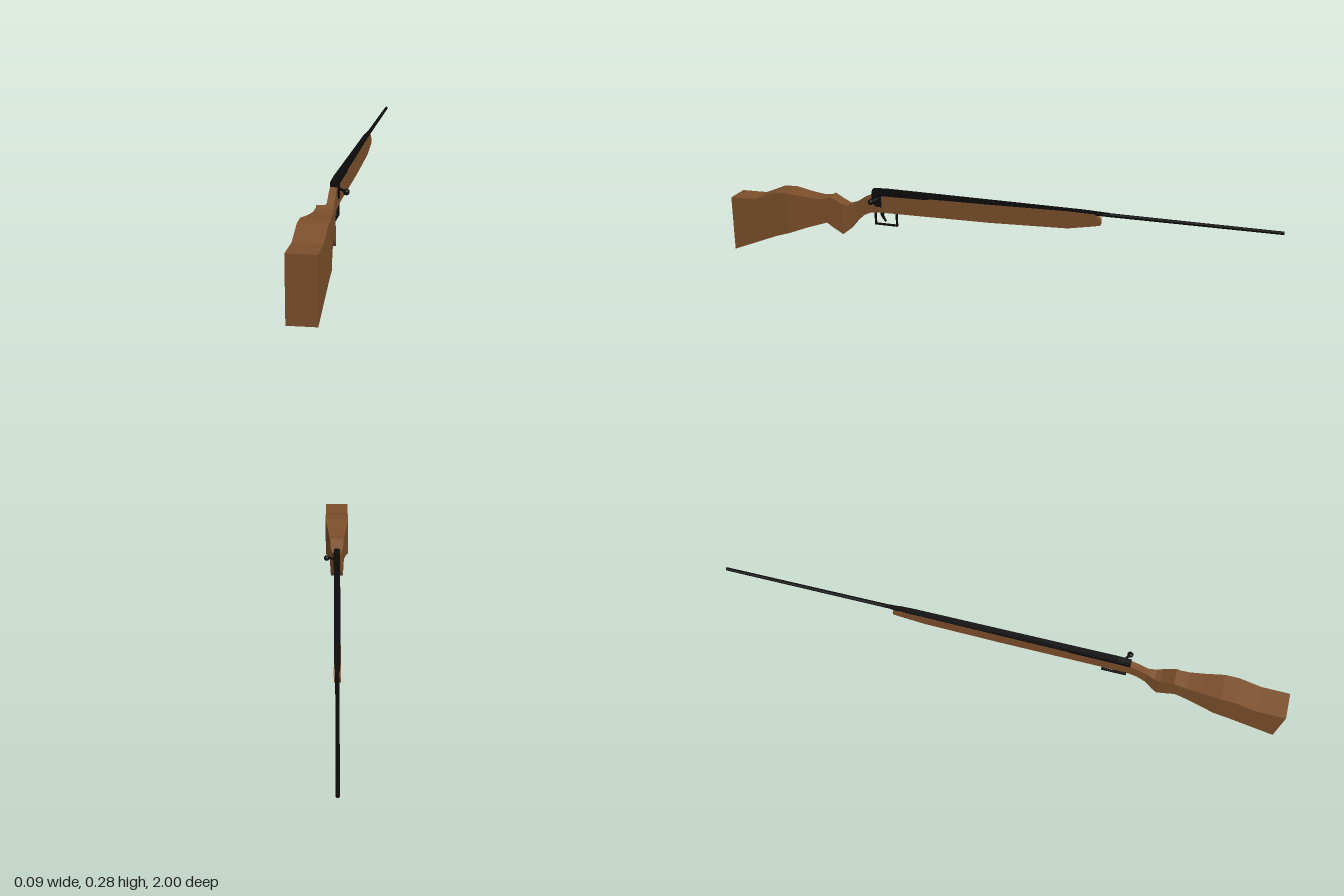
import * as THREE from 'three';

const wood = new THREE.MeshStandardMaterial({ color: 0x7b4f2b, flatShading: true });
wood.name = 'brown wood';
const steel = new THREE.MeshStandardMaterial({ color: 0x0b0b0c });
steel.name = 'black steel';
const CX = -0.0025; // centre plane of the body; the bolt knob widens the +x side

// Loft of rectangular sections [z, bottom, top, halfWidth], ordered from +z to -z
function loft(sections) {
  const pos = [], index = [];
  for (const [z, b, t, w] of sections) pos.push(-w, b, z, w, b, z, w, t, z, -w, t, z);
  const n = sections.length;
  for (let i = 0; i < n - 1; i++) {
    for (let k = 0; k < 4; k++) {
      const a = i * 4 + k, b = i * 4 + (k + 1) % 4;
      index.push(a, a + 4, b, b, a + 4, b + 4);
    }
  }
  const e = (n - 1) * 4;
  index.push(0, 1, 2, 0, 2, 3, e, e + 2, e + 1, e, e + 3, e + 2);
  const g = new THREE.BufferGeometry();
  g.setAttribute('position', new THREE.Float32BufferAttribute(pos, 3));
  g.setIndex(index);
  const flat = g.toNonIndexed();
  flat.computeVertexNormals();
  return flat;
}

// Tapered round bar between two points
function rod(a, b, ra, rb, sides = 12) {
  const p = new THREE.Vector3(...a), q = new THREE.Vector3(...b);
  const d = q.clone().sub(p);
  const g = new THREE.CylinderGeometry(rb, ra, d.length(), sides);
  g.applyQuaternion(new THREE.Quaternion().setFromUnitVectors(new THREE.Vector3(0, 1, 0), d.normalize()));
  return g.translate(...p.add(q).multiplyScalar(0.5).toArray());
}

// Side outline given as [z, y] points, extruded across x
function sidePlate(points, width, hole) {
  const toV = ([z, y]) => new THREE.Vector2(-z, y);
  const shape = new THREE.Shape(points.map(toV));
  if (hole) shape.holes.push(new THREE.Path(hole.map(toV)));
  const g = new THREE.ExtrudeGeometry(shape, { depth: width, bevelEnabled: false });
  return g.translate(0, 0, -width / 2).rotateY(Math.PI / 2);
}

export function createModel() {
  const model = new THREE.Group();
  const add = (name, geometry, material, x = CX) => {
    const mesh = new THREE.Mesh(geometry, material);
    mesh.name = name;
    mesh.position.x = x;
    model.add(mesh);
  };

  // Butt, grip and fore-end in one piece of wood
  add('stock', loft([
    [1, 0, 0.205, 0.0455], [0.9, 0.04, 0.207, 0.0455], [0.85, 0.06, 0.228, 0.0455],
    [0.82, 0.072, 0.241, 0.0455], [0.77, 0.088, 0.243, 0.0455], [0.7, 0.114, 0.233, 0.036],
    [0.65, 0.13, 0.229, 0.03], [0.62, 0.14, 0.232, 0.028], [0.605, 0.128, 0.24, 0.027],
    [0.56, 0.1, 0.217, 0.024], [0.54, 0.115, 0.211, 0.019], [0.51, 0.15, 0.222, 0.0115],
    [0.48, 0.178, 0.243, 0.0115], [0.45, 0.192, 0.257, 0.0115], [0.41, 0.195, 0.262, 0.0115],
    [0, 0.2, 0.267, 0.0115], [-0.28, 0.21, 0.272, 0.0115], [-0.37, 0.227, 0.27, 0.0115],
    [-0.393, 0.232, 0.252, 0.0115],
  ]), wood);

  // Receiver strip along the top of the wood
  add('receiver', loft([
    [0.447, 0.256, 0.273, 0.0118], [0.4, 0.258, 0.276, 0.0118],
    [-0.33, 0.268, 0.275, 0.0105], [-0.4, 0.265, 0.274, 0.0065],
  ]), steel);
  add('topRib', loft([
    [0.445, 0.27, 0.279, 0.0085], [0.4, 0.27, 0.282, 0.0085],
    [-0.33, 0.268, 0.278, 0.008], [-0.42, 0.266, 0.276, 0.005],
  ]), steel);
  add('barrel', rod([0, 0.272, 0.4], [0, 0.268, -1], 0.0085, 0.0058), steel);

  // Bolt on the left side
  add('boltPlate', sidePlate([[0.447, 0.262], [0.447, 0.232], [0.43, 0.216], [0.41, 0.216], [0.41, 0.265]], 0.004), steel, 0.0095);
  add('boltHandle', rod([0.006, 0.249, 0.42], [0.037, 0.242, 0.438], 0.0045, 0.0035), steel, 0);
  add('boltKnob', new THREE.SphereGeometry(0.0105, 16, 12).translate(0.0365, 0.2415, 0.439), steel, 0);

  // Trigger and its square guard
  add('triggerGuard', sidePlate(
    [[0.441, 0.2], [0.441, 0.144], [0.353, 0.144], [0.353, 0.2]], 0.008,
    [[0.435, 0.196], [0.435, 0.15], [0.359, 0.15], [0.359, 0.196]]), steel);
  add('trigger', sidePlate(
    [[0.417, 0.198], [0.417, 0.181], [0.4, 0.158], [0.397, 0.16], [0.408, 0.181], [0.4, 0.198]], 0.008), steel);
  return model;
}
